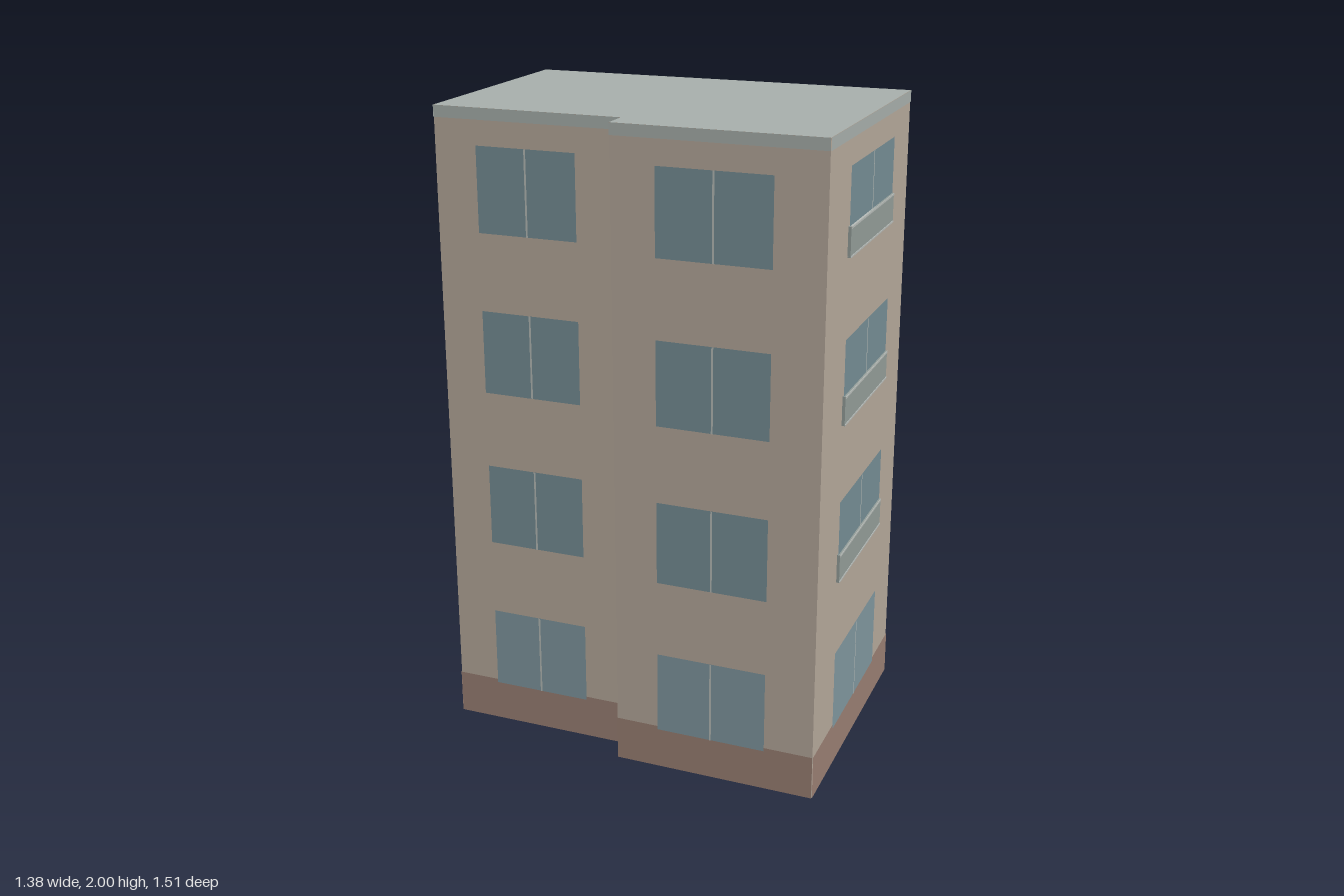
import * as THREE from 'three';

const mat = (color) => new THREE.MeshStandardMaterial({ color, side: THREE.DoubleSide, flatShading: true });

export function createModel() {
  const model = new THREE.Group();
  model.name = 'apartmentBlock';

  const plaster = mat(0xb8ab9d), brick = mat(0x9c8175), slate = mat(0xaab2ae);
  const glass = mat(0x779097), shopGlass = mat(0x8299a1);
  const panel = mat(0x959f9b), trim = mat(0xb9beba);

  const height = 2, floors = 4, storey = 0.5;
  const sill = 0.13, windowHeight = 0.26, railHeight = 0.09;

  // Footprint corners as [x, z], running left to right along each outer face
  const corners = [[-0.38, 0.25], [0.015, 0.75], [0.687, 0.205], [-0.093, -0.755], [-0.687, -0.268], [-0.315, 0.197]];

  // Windows per face: from/to as fractions of its length, mullion 'all' | 'ground' | 'none', rail
  const faces = [
    { name: 'frontLeftFace', windows: [{ from: 0.215, to: 0.76, mullion: 'all' }] },
    { name: 'frontRightFace', windows: [{ from: 0.23, to: 0.776, mullion: 'all', rail: true }] },
    { name: 'longFace', windows: [
      { from: 0.13, to: 0.412, mullion: 'none', rail: true },
      { from: 0.583, to: 0.865, mullion: 'ground' }] },
    { name: 'backFace', windows: [{ from: 0.233, to: 0.76, mullion: 'all' }] },
    { name: 'sideFace', windows: [{ from: 0.227, to: 0.76, mullion: 'all' }] },
    { name: 'stepFace', plain: true, windows: [] },
  ];

  // Upright rectangle on a face, x and y at its lower left corner
  function sheet(parent, name, material, x, y, w, h, z) {
    const mesh = new THREE.Mesh(new THREE.PlaneGeometry(w, h), material);
    mesh.position.set(x + w / 2, y + h / 2, z);
    mesh.name = name;
    parent.add(mesh);
  }

  // Box standing off a face, its back on the wall
  function bar(parent, name, material, x, y, w, h, d) {
    const mesh = new THREE.Mesh(new THREE.BoxGeometry(w, h, d), material);
    mesh.position.set(x + w / 2, y + h / 2, d / 2);
    mesh.name = name;
    parent.add(mesh);
  }

  faces.forEach((face, i) => {
    const [x0, z0] = corners[i];
    const [x1, z1] = corners[(i + 1) % corners.length];
    const length = Math.hypot(x1 - x0, z1 - z0);
    const group = new THREE.Group();
    group.name = face.name;
    group.position.set(x0, 0, z0);
    group.rotation.y = Math.atan2(z0 - z1, x1 - x0);
    model.add(group);

    sheet(group, 'wall', plaster, 0, 0, length, height, 0);
    if (!face.plain) {
      sheet(group, 'brickBase', brick, 0, 0, length, 0.14, 0.002);
      sheet(group, 'roofEdge', slate, 0, height - 0.035, length, 0.035, 0.002);
    }

    for (const win of face.windows) {
      const x = win.from * length, w = (win.to - win.from) * length;
      for (let f = 0; f < floors; f++) {
        const y = sill + f * storey;
        const ground = f === 0;
        const divided = win.mullion === 'all' || (ground && win.mullion === 'ground');
        const pane = ground && win.mullion !== 'none' ? shopGlass : glass;
        sheet(group, 'windowPane', pane, x, y, w, windowHeight, 0.004);
        if (divided) sheet(group, 'mullion', trim, x + w / 2 - 0.003, y, 0.006, windowHeight, 0.006);
        // Shallow balcony rail on the upper floors
        if (win.rail && !ground) {
          bar(group, 'balconyPanel', panel, x, y, w, railHeight, 0.009);
          bar(group, 'balconyTopRail', trim, x, y + railHeight - 0.006, w, 0.006, 0.011);
          bar(group, 'balconyBottomRail', trim, x, y, w, 0.005, 0.011);
        }
      }
    }
  });

  // Flat roof over the footprint; the underside stays open
  const outline = new THREE.Shape(corners.map(([x, z]) => new THREE.Vector2(x, -z)));
  const roof = new THREE.Mesh(new THREE.ShapeGeometry(outline).rotateX(-Math.PI / 2), slate);
  roof.position.y = height;
  roof.name = 'roof';
  model.add(roof);

  return model;
}
